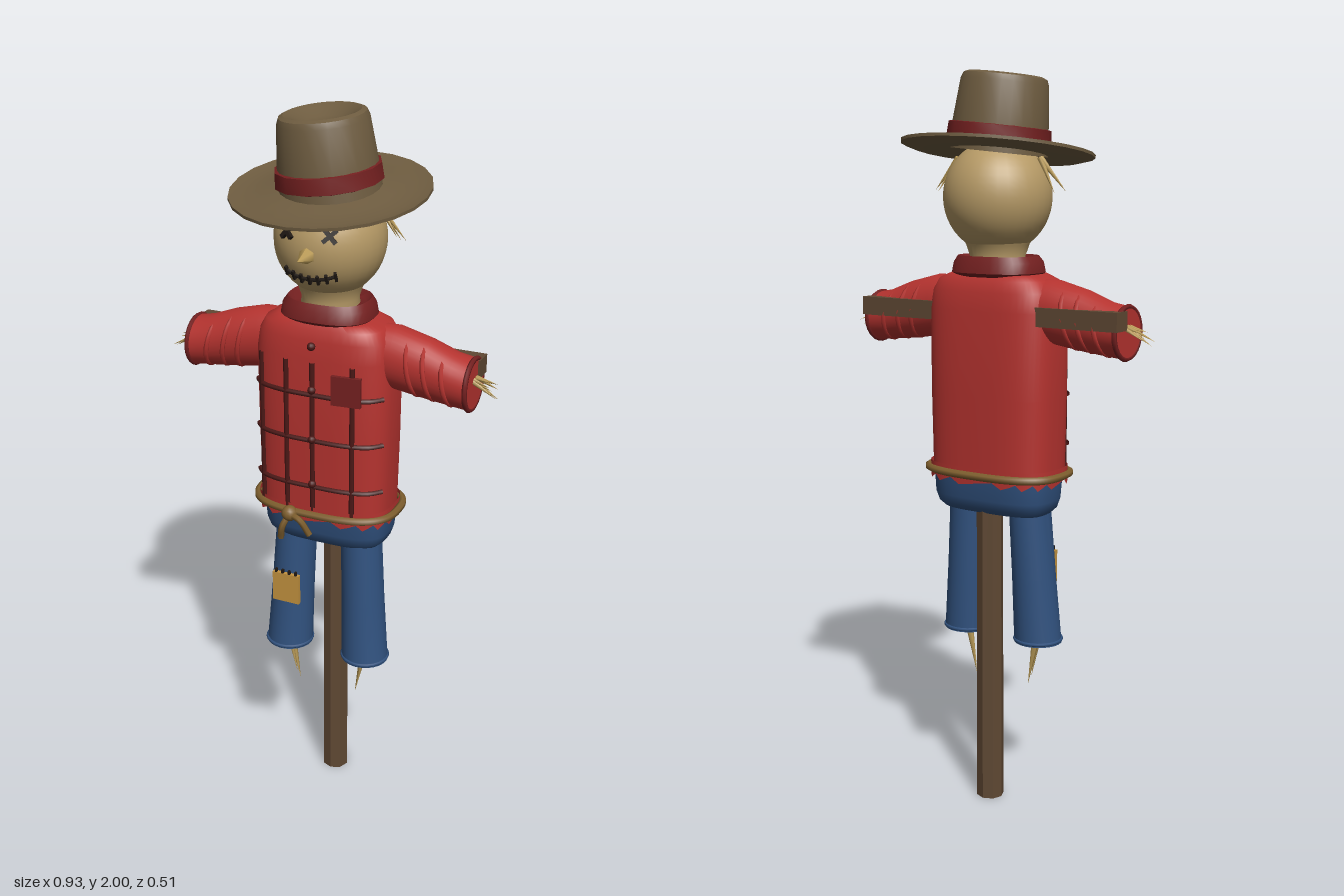
import * as THREE from 'three';
import { toCreasedNormals } from 'three/addons/utils/BufferGeometryUtils.js';

const V = (x, y, z) => new THREE.Vector3(x, y, z);
const mat = (color) => new THREE.MeshStandardMaterial({ color, side: THREE.DoubleSide });
const M = {
  red: mat(0xb5332f), darkRed: mat(0x742020), plaid: mat(0x4c1917), blue: mat(0x31527f),
  wood: mat(0x5f4833), hat: mat(0x6e5c40), burlap: mat(0xb69a66), straw: mat(0xbb9c58),
  patch: mat(0xc3923f), rope: mat(0x80602f), black: mat(0x211a15),
};

function add(parent, name, geometry, material, pos = [0, 0, 0], rot = [0, 0, 0]) {
  const m = new THREE.Mesh(geometry, material);
  m.name = name;
  m.position.set(...pos);
  m.rotation.set(...rot);
  parent.add(m);
  return m;
}

// Point on a rounded-square cross-section; n = 2 is an ellipse
function ringPoint(a, rx, rz, n) {
  const f = (v) => Math.sign(v) * Math.abs(v) ** (2 / n);
  return [rx * f(Math.sin(a)), rz * f(Math.cos(a))];
}

// Skin over sections [y, rx, rz, centreX, centreZ], closed at both ends
function loft(sections, n = 2, sides = 32) {
  const first = sections[0], last = sections[sections.length - 1];
  const shut = (s) => [s[0], 0.0001, 0.0001, s[3], s[4]];
  const rows = [shut(first), ...sections, shut(last)];
  const pos = [], idx = [];
  rows.forEach(([y, rx, rz, cx = 0, cz = 0], r) => {
    for (let i = 0; i < sides; i++) {
      const [x, z] = ringPoint((i / sides) * Math.PI * 2, rx, rz, n);
      pos.push(x + cx, y, z + cz);
      if (r === rows.length - 1) continue;
      const a = r * sides + i, b = r * sides + (i + 1) % sides;
      idx.push(a, b, b + sides, a, b + sides, a + sides);
    }
  });
  const g = new THREE.BufferGeometry();
  g.setAttribute('position', new THREE.Float32BufferAttribute(pos, 3));
  g.setIndex(idx);
  return toCreasedNormals(g, 0.9);
}

function tube(parent, name, points, r, material, closed = false) {
  const curve = new THREE.CatmullRomCurve3(points, closed);
  return add(parent, name, new THREE.TubeGeometry(curve, points.length * 4, r, 6, closed), material);
}

// Tapered stalk from a to b
function stalk(parent, name, a, b, r, material = M.straw) {
  const m = add(parent, name, new THREE.ConeGeometry(r, a.distanceTo(b), 6), material);
  m.position.copy(a).lerp(b, 0.5);
  m.quaternion.setFromUnitVectors(V(0, 1, 0), b.clone().sub(a).normalize());
}

function part(parent, name) {
  const g = new THREE.Group();
  g.name = name;
  parent.add(g);
  return g;
}

const CHEST = { rx: 0.19, rz: 0.112, n: 3.2 };
const chestZ = (x) => 0.005 + CHEST.rz * (1 - Math.abs(x / CHEST.rx) ** CHEST.n) ** (1 / CHEST.n);

function buildShirt(root) {
  const shirt = part(root, 'shirt');
  add(shirt, 'torso', loft([
    [0.94, 0.184, 0.11, 0, 0.005], [1.15, 0.188, 0.112, 0, 0.005], [1.38, 0.19, 0.11, 0, 0.005],
    [1.43, 0.182, 0.104, 0, 0.005], [1.46, 0.165, 0.096, 0, 0.006], [1.475, 0.13, 0.085, 0, 0.007],
  ], CHEST.n, 48), M.red);
  add(shirt, 'collar', loft([
    [1.468, 0.115, 0.09, 0, 0.005], [1.478, 0.125, 0.1, 0, 0.005], [1.505, 0.12, 0.095, 0, 0.005],
    [1.522, 0.108, 0.085, 0, 0.003], [1.505, 0.09, 0.075, 0, 0.003],
  ], 2.6), M.darkRed);

  // Ragged hem below the belt
  const hem = new THREE.CylinderGeometry(1, 1, 0.06, 48, 1, true), p = hem.attributes.position;
  for (let i = 0; i < p.count; i++) {
    const [x, z] = ringPoint(((i % 49) / 48) * Math.PI * 2, 0.191, 0.117, CHEST.n);
    p.setXYZ(i, x, i < 49 ? 0.96 : 0.91 + 0.008 * (i % 3), z + 0.005);
  }
  hem.computeVertexNormals();
  add(shirt, 'raggedHem', hem, M.red);

  // Plaid lines and buttons
  for (const y of [1.285, 1.155, 1.02]) {
    const pts = [-0.18, -0.15, -0.09, 0, 0.09, 0.15, 0.18].map((x) => V(x, y, chestZ(x)));
    tube(shirt, 'plaidRow', pts, 0.007, M.plaid);
  }
  for (const x of [-0.155, -0.075, 0, 0.11])
    tube(shirt, 'plaidColumn', [V(x, 1.375, chestZ(x)), V(x, 1.15, chestZ(x)), V(x, 0.95, chestZ(x))], 0.007, M.plaid);
  for (const y of [1.42, 1.3, 1.16, 1.03])
    add(shirt, 'button', new THREE.SphereGeometry(0.011, 10, 8), M.plaid, [0, y, 0.121]);
  add(shirt, 'chestPatch', new THREE.BoxGeometry(0.08, 0.08, 0.012), M.darkRed, [0.095, 1.31, 0.116], [0, 0.1, 0]);
}

function buildArm(root, side) {
  const arm = part(root, side > 0 ? 'leftArm' : 'rightArm');
  arm.scale.x = side;
  // Lofted upright, then laid along x
  add(arm, 'sleeve', loft([
    [0.13, 0.08, 0.066, -1.385], [0.19, 0.085, 0.068, -1.38], [0.28, 0.08, 0.066, -1.362],
    [0.35, 0.07, 0.068, -1.345], [0.4, 0.068, 0.07, -1.338],
  ]), M.red, [0, 0, 0], [0, 0, -Math.PI / 2]);
  const folds = [[0.24, 1.368, 0.079], [0.285, 1.36, 0.076], [0.335, 1.347, 0.069], [0.395, 1.339, 0.067]];
  folds.forEach(([x, y, r], i) => {
    const fold = add(arm, 'sleeveFold', new THREE.TorusGeometry(r, 0.007, 6, 24), i === 3 ? M.darkRed : M.red,
      [x, y, 0], [0, Math.PI / 2, i === 3 ? 0 : 0.18, 'ZYX']);
    fold.scale.x = 0.068 / r;
  });
  for (let i = 0; i < 7; i++) {
    const a = i * 2.4, s = i ? 0.026 : 0;
    stalk(arm, 'handStraw', V(0.38, 1.36, Math.cos(a) * 0.012),
      V(0.445 + 0.01 * (i % 3), 1.328 + Math.sin(a) * s * 0.7, Math.cos(a) * s), 0.008);
  }
}

function buildLeg(root, side) {
  const leg = part(root, side > 0 ? 'leftLeg' : 'rightLeg');
  leg.scale.x = side;
  add(leg, 'trouserLeg', loft([
    [0.46, 0.067, 0.065, 0.118, 0.025], [0.475, 0.066, 0.064, 0.117, 0.024],
    [0.65, 0.06, 0.062, 0.108, 0.018], [0.88, 0.056, 0.06, 0.096, 0.01],
  ], 2, 24), M.blue);
  add(leg, 'trouserCuff', new THREE.TorusGeometry(0.065, 0.005, 6, 24), M.blue, [0.118, 0.468, 0.025], [Math.PI / 2, 0, 0]);
  stalk(leg, 'footStraw', V(0.11, 0.45, 0.022), V(0.087, 0.325, 0.022), 0.01);
  stalk(leg, 'footStraw', V(0.113, 0.45, 0.03), V(0.094, 0.35, 0.03), 0.007);
}

function buildBelt(root) {
  const belt = part(root, 'ropeBelt');
  const pts = [];
  for (let i = 0; i < 32; i++) {
    const [x, z] = ringPoint((i / 32) * Math.PI * 2, 0.2, 0.124, 2.8);
    pts.push(V(x, 0.94, z + 0.004));
  }
  tube(belt, 'rope', pts, 0.011, M.rope, true);
  add(belt, 'knot', new THREE.SphereGeometry(0.022, 12, 10), M.rope, [-0.06, 0.937, 0.137]);
  tube(belt, 'ropeEnd', [V(-0.06, 0.935, 0.14), V(-0.075, 0.9, 0.152), V(-0.085, 0.86, 0.142)], 0.009, M.rope);
  tube(belt, 'ropeEnd', [V(-0.06, 0.935, 0.14), V(-0.025, 0.93, 0.15), V(0, 0.885, 0.14)], 0.009, M.rope);
}

function buildHead(root) {
  const head = part(root, 'head');
  add(head, 'neck', loft([[1.46, 0.085, 0.08], [1.52, 0.075, 0.072], [1.55, 0.085, 0.082], [1.58, 0.1, 0.1]]), M.burlap);
  add(head, 'face', new THREE.SphereGeometry(0.145, 32, 24), M.burlap, [0, 1.675, 0]).scale.y = 1.03;
  const faceZ = (x, y) => Math.sqrt(0.147 ** 2 - x * x - (y - 1.675) ** 2);

  // Stitched eyes, nose and mouth
  for (const x of [-0.058, 0.056])
    for (const turn of [-1, 1])
      add(head, 'crossedEye', new THREE.BoxGeometry(0.046, 0.011, 0.014), M.black,
        [x, 1.717, faceZ(x, 1.717)], [-0.25, x * 6, turn * Math.PI / 4]);
  stalk(head, 'nose', V(0, 1.665, 0.13), V(0, 1.665, 0.197), 0.026, M.straw);
  const mouthY = (x) => 1.6 + x * x * 3;
  const mouth = [-0.066, -0.044, -0.022, 0, 0.022, 0.044, 0.066];
  tube(head, 'mouth', mouth.map((x) => V(x, mouthY(x), faceZ(x, mouthY(x)))), 0.005, M.black);
  for (const x of mouth)
    add(head, 'mouthStitch', new THREE.BoxGeometry(0.007, 0.026, 0.012), M.black,
      [x, mouthY(x), faceZ(x, mouthY(x))], [0.45, x * 6, 0]);

  // Straw hair at the temples
  for (const s of [-1, 1])
    for (const [x, y, z] of [[0.207, 1.69, 0.005], [0.19, 1.7, 0.022], [0.185, 1.685, -0.015]])
      stalk(head, 'hairStraw', V(s * 0.13, 1.775, 0.004), V(s * x, y, z), 0.009);
}

function buildHat(root) {
  const lathe = (pts, sides) =>
    toCreasedNormals(new THREE.LatheGeometry(pts.map(([x, y]) => new THREE.Vector2(x, y)), sides), 0.7);
  const hat = part(root, 'hat');
  hat.position.set(0, 1.79, 0);
  add(hat, 'brim', lathe([
    [0.1, 0], [0.17, -0.004], [0.225, -0.006], [0.257, 0.004], [0.257, 0.012],
    [0.222, 0.006], [0.17, 0.012], [0.1, 0.024],
  ], 24), M.hat, [0, 0, 0], [0.135, 0, 0.01]);
  const top = part(hat, 'crownAndBand');
  top.rotation.set(0.05, 0, 0.09);
  add(top, 'crown', lathe([
    [0.133, 0], [0.127, 0.07], [0.116, 0.18], [0.11, 0.195], [0.098, 0.2], [0.08, 0.193], [0.05, 0.177], [0, 0.172],
  ], 24), M.hat);
  add(top, 'band', lathe([[0.13, 0.025], [0.139, 0.028], [0.136, 0.068], [0.125, 0.07]], 14), M.darkRed);
}

export function createModel() {
  const root = new THREE.Group();
  root.name = 'scarecrow';

  // Wooden cross
  const pole = new THREE.CylinderGeometry(0.036, 0.038, 1.45, 8).toNonIndexed();
  pole.computeVertexNormals();
  add(root, 'pole', pole, M.wood, [-0.003, 0.725, -0.043]);
  add(root, 'crossbar', new THREE.BoxGeometry(0.81, 0.05, 0.055), M.wood, [0, 1.372, -0.046]);

  buildShirt(root);
  add(root, 'hips', loft([
    [0.83, 0.155, 0.075], [0.845, 0.17, 0.09], [0.87, 0.178, 0.098], [0.94, 0.182, 0.104, 0, 0.002],
  ], 3.2, 40), M.blue);
  for (const side of [-1, 1]) {
    buildArm(root, side);
    buildLeg(root, side);
  }
  buildBelt(root);

  // Knee patch with stitches along its top
  add(root, 'kneePatch', new THREE.BoxGeometry(0.08, 0.09, 0.012), M.patch, [-0.1, 0.665, 0.082]);
  for (let i = 0; i < 4; i++)
    add(root, 'patchStitch', new THREE.BoxGeometry(0.006, 0.022, 0.008), M.black, [-0.13 + i * 0.02, 0.71, 0.084]);

  buildHead(root);
  buildHat(root);
  return root;
}
